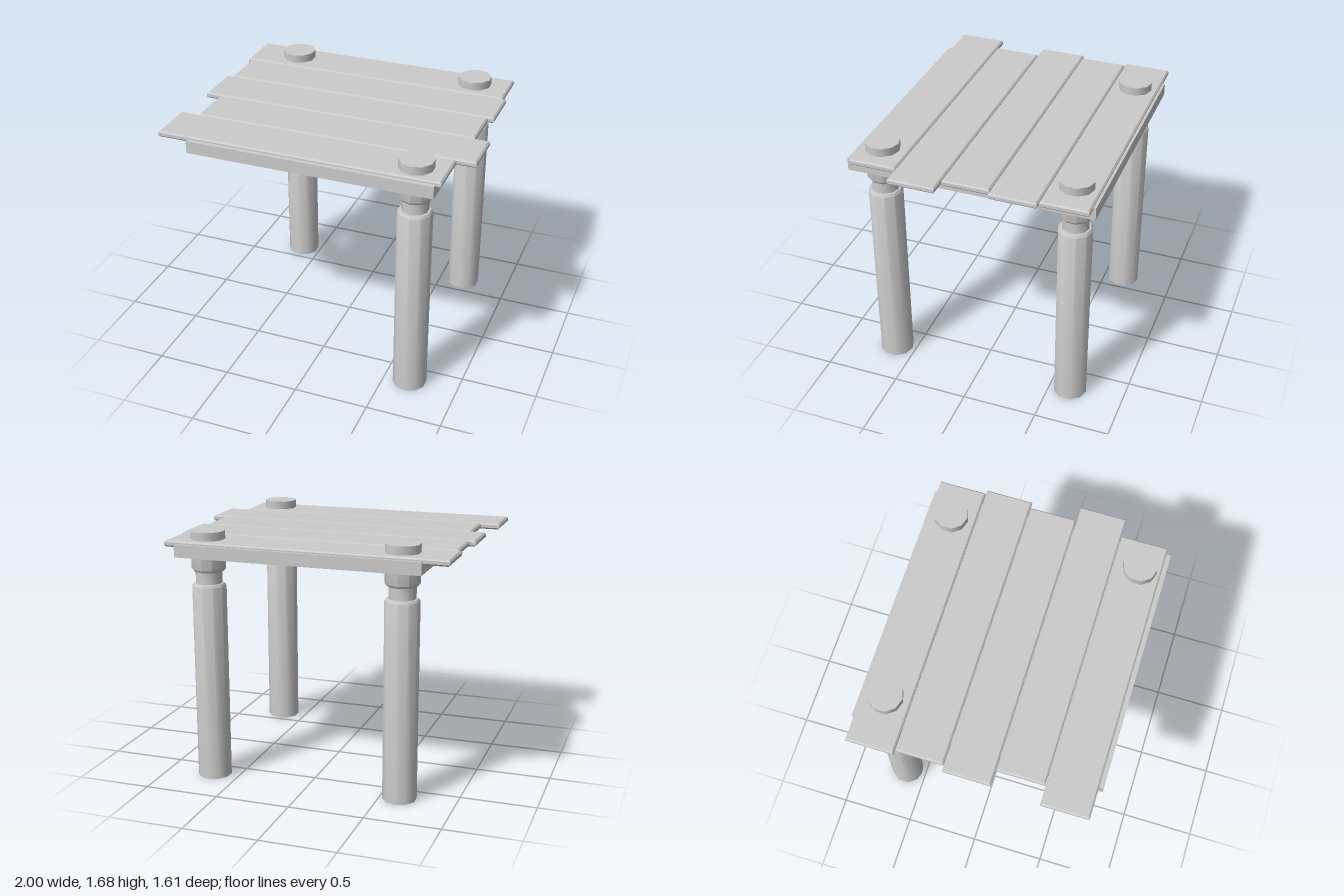
import * as THREE from 'three';
import { toCreasedNormals } from 'three/addons/utils/BufferGeometryUtils.js';

const material = new THREE.MeshStandardMaterial({ color: 0xcccccc });

function addMesh(parent, name, geometry, x, y, z) {
  const mesh = new THREE.Mesh(geometry, material);
  mesh.name = name;
  mesh.position.set(x, y, z);
  parent.add(mesh);
  return mesh;
}

// Flat board with every edge chamfered, centred on its origin
function chamferedBoard(width, height, depth, bevel) {
  const w = width / 2 - bevel;
  const d = depth / 2 - bevel;
  const shape = new THREE.Shape([
    new THREE.Vector2(-w, -d), new THREE.Vector2(w, -d),
    new THREE.Vector2(w, d), new THREE.Vector2(-w, d),
  ]);
  const geometry = new THREE.ExtrudeGeometry(shape, {
    depth: height - 2 * bevel,
    bevelThickness: bevel, bevelSize: bevel, bevelSegments: 1,
  });
  return geometry.rotateX(-Math.PI / 2).translate(0, bevel - height / 2, 0);
}

// Ten-sided post: long shaft, narrow neck, collar running up through the top
function postGeometry() {
  const profile = [
    [0, 0], [0.112, 0], [0.112, 1.316], [0.1, 1.333],
    [0.087, 1.333], [0.087, 1.413],
    [0.1, 1.413], [0.112, 1.43], [0.112, 1.677], [0, 1.677],
  ].map(([r, y]) => new THREE.Vector2(r, y));
  return toCreasedNormals(new THREE.LatheGeometry(profile, 10), 0.68);
}

export function createModel() {
  const table = new THREE.Group();
  table.name = 'table';

  // Slab beneath the planks
  addMesh(table, 'baseSlab', new THREE.BoxGeometry(1.625, 0.083, 1.61), 0.022, 1.5615, 0);

  // Planks from back to front, each shifted sideways
  const plankGeometry = chamferedBoard(1.87, 0.04, 0.31, 0.01);
  [-0.025, 0, -0.04, 0.06, -0.065].forEach((x, i) => {
    addMesh(table, `plank${i + 1}`, plankGeometry, x, 1.602, -0.633 + i * 0.3135);
  });

  // Three legs; the front right corner has none
  const legGeometry = postGeometry();
  addMesh(table, 'backRightLeg', legGeometry, -0.63, 0, -0.637);
  addMesh(table, 'backLeftLeg', legGeometry, 0.673, 0, -0.637);
  addMesh(table, 'frontLeftLeg', legGeometry, 0.673, 0, 0.637);

  return table;
}
